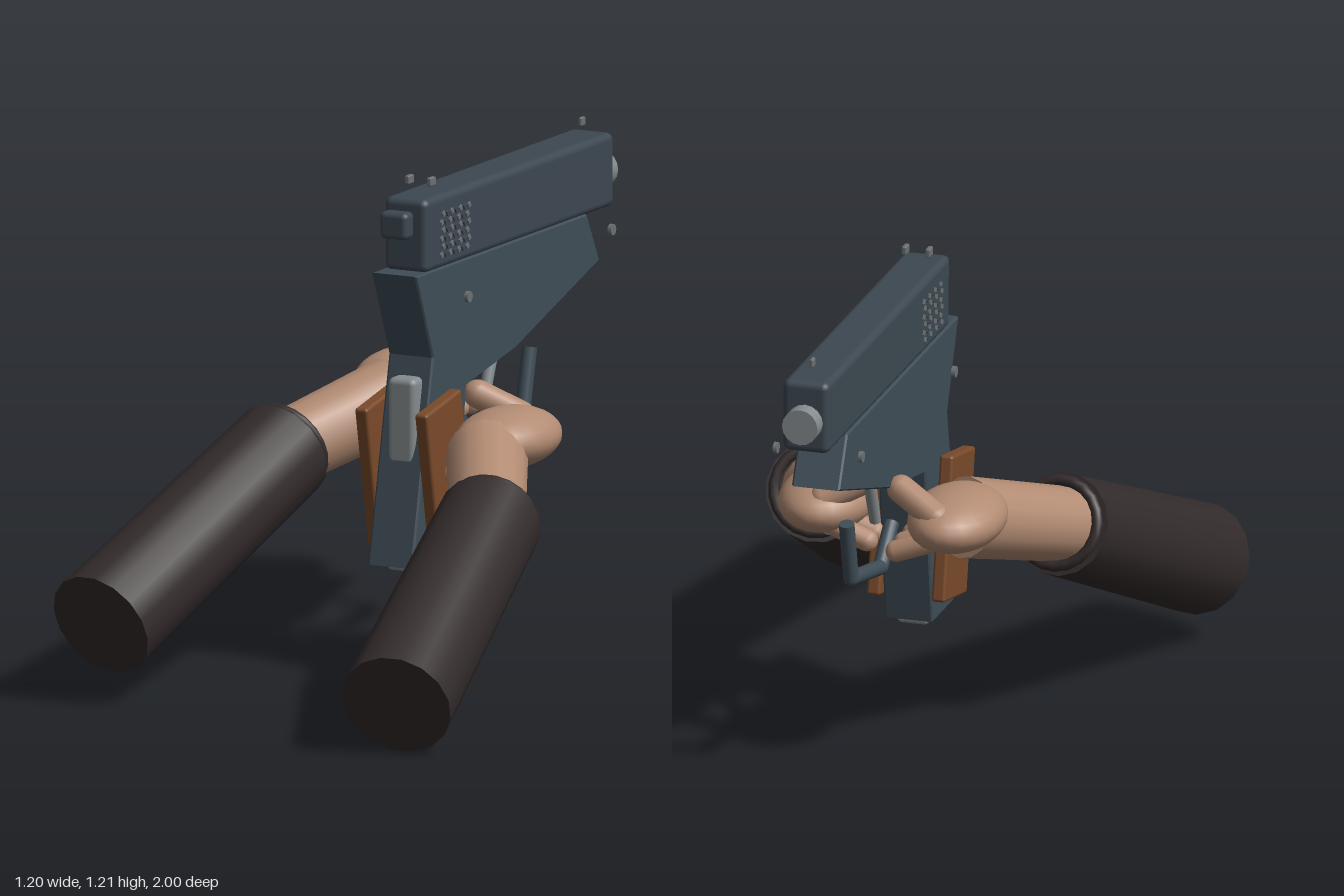
import * as THREE from 'three';
import { RoundedBoxGeometry } from 'three/addons/geometries/RoundedBoxGeometry.js';

const mat = (name, color) => {
  const m = new THREE.MeshStandardMaterial({ color });
  m.name = name;
  return m;
};
const V = (x, y, z) => new THREE.Vector3(x, y, z);

export function createModel() {
  const slateBlue = mat('slate blue steel', 0x3d4851);
  const frameBlue = mat('frame steel', 0x3f4d57);
  const silver = mat('silver metal', 0x858c8e);
  const grey = mat('small part grey', 0x6c7072);
  const wood = mat('grip wood', 0x7a4a2a);
  const skin = mat('skin', 0xb28b73);
  const cloth = mat('sleeve cloth', 0x332b2b);

  const model = new THREE.Group();
  model.name = 'pistolWithHands';

  const add = (parent, name, geo, material, pos = V(0, 0, 0)) => {
    const m = new THREE.Mesh(geo, material);
    m.name = name;
    m.position.copy(pos);
    parent.add(m);
    return m;
  };
  const box = (name, w, h, d, r, material, x, y, z) =>
    add(model, name, new RoundedBoxGeometry(w, h, d, 2, r), material, V(x, y, z));
  // Cylinder or capsule running from a to b
  const between = (parent, name, a, b, ra, rb, material, round = false, sides = 16) => {
    const dir = b.clone().sub(a);
    const len = dir.length();
    const geo = round ? new THREE.CapsuleGeometry(ra, len, 6, 14)
      : new THREE.CylinderGeometry(rb, ra, len, sides);
    const m = add(parent, name, geo, material, a.clone().add(b).multiplyScalar(0.5));
    m.quaternion.setFromUnitVectors(V(0, 1, 0), dir.normalize());
    return m;
  };

  // Slide, muzzle and rear block
  box('slide', 0.118, 0.182, 0.974, 0.018, slateBlue, 0, 1.086, -0.471);
  between(model, 'muzzle', V(0, 1.075, -0.9), V(0, 1.075, -1), 0.045, 0.045, silver);
  box('rearBlock', 0.076, 0.068, 0.046, 0.014, slateBlue, 0, 1.119, 0.057);

  // Sights above the slide
  for (const x of [-0.03, 0.03]) box('rearSight', 0.013, 0.022, 0.028, 0.004, grey, x, 1.208, -0.064);
  box('frontSight', 0.01, 0.022, 0.022, 0.004, grey, 0, 1.208, -0.898);

  // Frame and grip in one side profile of (z, y) points
  const profile = new THREE.Shape([
    [0.068, 0.996], [-0.02, 0.785], [0.088, 0.287], [-0.128, 0.287],
    [-0.185, 0.69], [-0.44, 0.738], [-0.87, 0.878], [-0.808, 0.996],
  ].map(([z, y]) => new THREE.Vector2(z, y)));
  const frameGeo = new THREE.ExtrudeGeometry(profile, {
    depth: 0.112, bevelEnabled: true, bevelThickness: 0.005, bevelSize: 0.004, bevelSegments: 1,
  });
  frameGeo.translate(0, 0, -0.056).rotateY(-Math.PI / 2);
  add(model, 'frameAndGrip', frameGeo, frameBlue);

  // Backstrap and magazine base
  box('backstrap', 0.076, 0.215, 0.07, 0.016, silver, 0, 0.63, 0.004);
  box('magazineBase', 0.08, 0.04, 0.145, 0.012, silver, 0, 0.282, -0.035);

  // Trigger and its guard
  const guard = [V(0, 0.7, -0.627), V(0, 0.548, -0.592), V(0, 0.496, -0.357), V(0, 0.58, -0.27)];
  for (let i = 0; i < 3; i++) between(model, 'triggerGuard', guard[i], guard[i + 1], 0.019, 0.019, frameBlue);
  for (const p of guard.slice(1, 3)) add(model, 'guardCorner', new THREE.SphereGeometry(0.019, 12, 8), frameBlue, p);
  between(model, 'trigger', V(0, 0.76, -0.45), V(0, 0.63, -0.4), 0.016, 0.014, silver);

  for (const s of [-1, 1]) {
    // Grip panels
    const panel = box('gripPanel', 0.035, 0.36, 0.185, 0.008, wood, s * 0.082, 0.505, -0.035);
    panel.rotation.x = 0.195;
    // Pins beside the frame
    for (const [y, z] of [[0.96, -0.848], [0.924, -0.108]])
      between(model, 'pin', V(s * 0.103, y, z), V(s * 0.113, y, z), 0.014, 0.014, grey, false, 10);
    // Slanted rows of grip bumps on the slide
    const bump = new THREE.BoxGeometry(0.006, 0.012, 0.012);
    for (let i = 0; i < 7; i++) for (let j = 0; j < 6; j++) {
      const m = add(model, 'slideBump', bump, i % 2 ? slateBlue : grey,
        V(s * 0.06, 1.03 + j * 0.02, -0.06 - i * 0.022 - (j % 2) * 0.009));
      m.rotation.x = 0.5;
    }
  }

  // An arm with hand; s is its side, the second arm reaches further forward
  const makeArm = (name, s, dy, dz) => {
    const arm = new THREE.Group();
    arm.name = name;
    model.add(arm);
    const P = (x, y, z) => V(s * x, y + dy, z + dz);
    const elbow = P(0.466, 0.135, 0.94), cuff = P(0.345, 0.455, 0.225);
    between(arm, 'sleeve', elbow, cuff, 0.138, 0.127, cloth);
    const ring = add(arm, 'cuff', new THREE.TorusGeometry(0.105, 0.014, 8, 20), cloth, P(0.343, 0.462, 0.212));
    ring.quaternion.setFromUnitVectors(V(0, 0, 1), cuff.clone().sub(elbow).normalize());
    between(arm, 'forearm', P(0.35, 0.447, 0.25), P(0.19, 0.55, -0.05), 0.092, 0.1, skin);
    const palm = add(arm, 'palm', new THREE.SphereGeometry(1, 24, 16), skin, P(0.201, 0.582, -0.14));
    palm.scale.set(0.117, 0.074, 0.17);
    between(arm, 'thumb', P(0.18, 0.615, -0.245), P(0.08, 0.665, -0.208), 0.035, 0.035, skin, true);
    [-0.03, -0.095, -0.165, -0.23].forEach((z, i) => {
      const y = i ? 0.513 : 0.495;
      between(arm, 'finger', P(0.17, y + 0.035, z), P(0.075, y, z), 0.027, 0.027, skin, true);
    });
  };
  makeArm('leftArm', 1, 0, 0);
  makeArm('rightArm', -1, 0.07, -0.235);

  return model;
}
